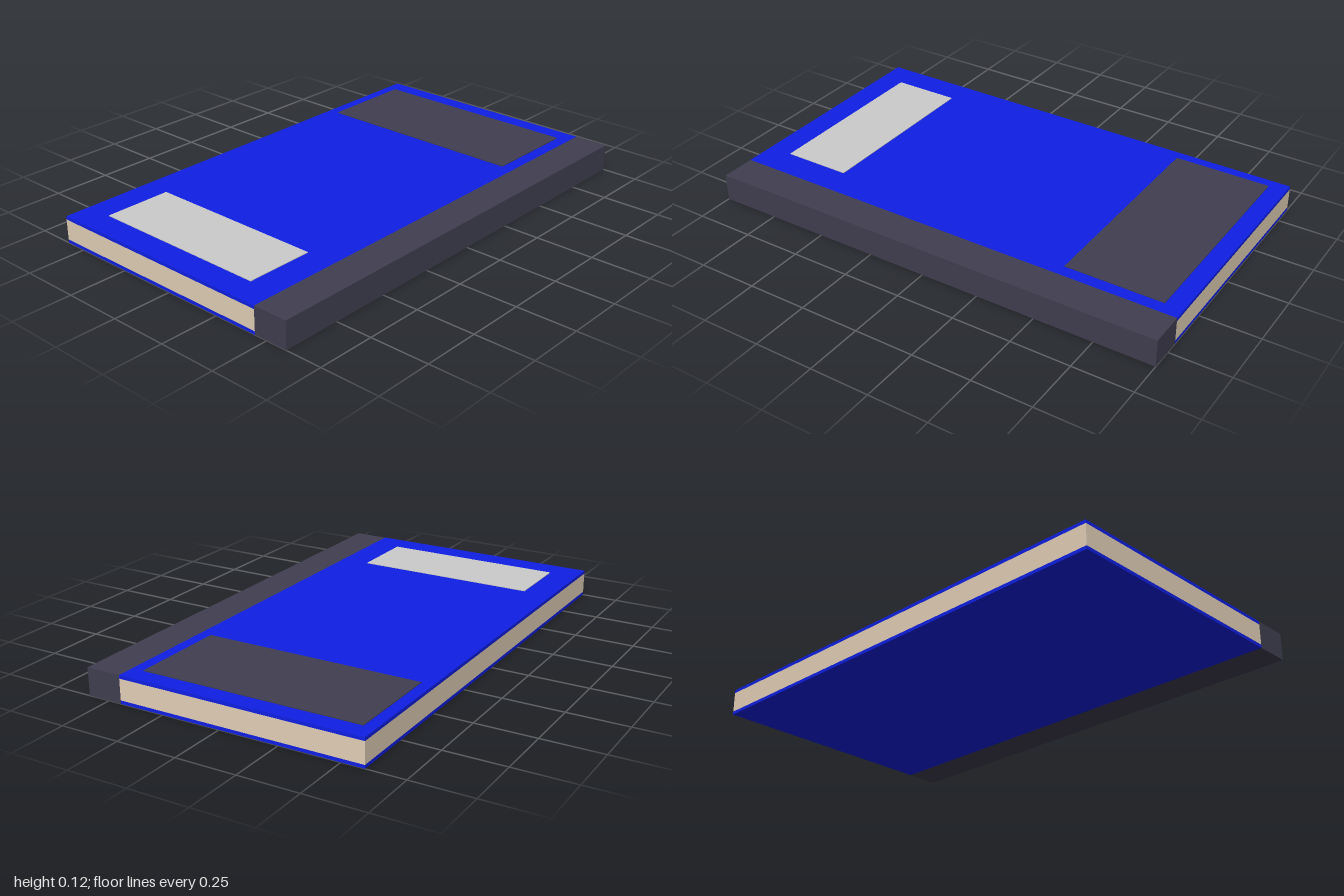
import * as THREE from 'three';

const mat = (color) => new THREE.MeshStandardMaterial({ color });

export function createModel() {
  const book = new THREE.Group();
  book.name = 'book';
  const blue = mat(0x0f1fe6), dark = mat(0x403e50), cream = mat(0xe4d1b8), grey = mat(0xcccccc);

  // Box given by its extents along each axis
  const slab = (name, material, [x0, x1], [y0, y1], [z0, z1]) => {
    const mesh = new THREE.Mesh(new THREE.BoxGeometry(x1 - x0, y1 - y0, z1 - z0), material);
    mesh.position.set((x0 + x1) / 2, (y0 + y1) / 2, (z0 + z1) / 2);
    mesh.name = name;
    book.add(mesh);
  };

  const width = [-0.593, 0.443], length = [-1, 1];
  const top = 0.115, board = 0.014;

  // Covers, page block and spine
  slab('backCover', blue, width, [0, board], length);
  slab('pages', cream, width, [board, top - board], length);
  slab('frontCover', blue, width, [top - board, top], length);
  slab('spine', dark, [0.443, 0.593], [0, top], length);

  // Thin raised panels on the front cover
  slab('titlePanel', dark, [-0.545, 0.39], [top - 0.003, top + 0.003], [-0.925, -0.51]);
  slab('labelPanel', grey, [-0.47, 0.315], [top - 0.003, top + 0.003], [0.6, 0.89]);

  return book;
}
